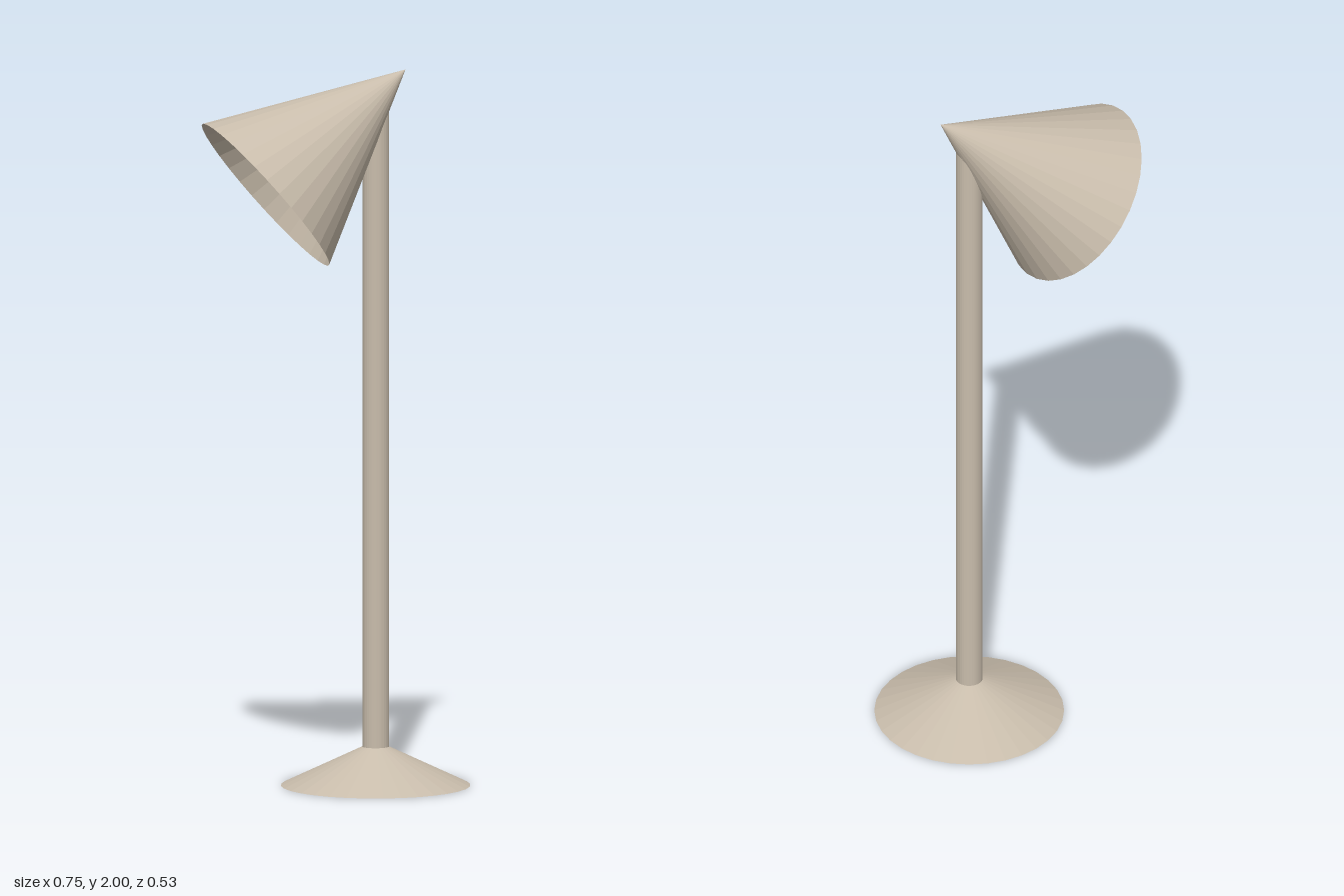
import * as THREE from 'three';

const SIDES = 32;

export function createModel() {
  const lamp = new THREE.Group();
  lamp.name = 'floorLamp';

  const beige = new THREE.MeshStandardMaterial({ color: 0xc8bcab, flatShading: true, side: THREE.DoubleSide });
  beige.name = 'beige';

  const add = (name, geometry) => {
    const mesh = new THREE.Mesh(geometry, beige);
    mesh.name = name;
    lamp.add(mesh);
    return mesh;
  };

  const poleX = 0.11, poleRadius = 0.037, poleTop = 1.9;
  const baseRadius = 0.263, baseHeight = 0.108;

  // Low conical foot
  add('base', new THREE.CylinderGeometry(poleRadius, baseRadius, baseHeight, SIDES))
    .position.set(poleX, baseHeight / 2, 0);

  // Upright pole, ending inside the shade
  const poleLength = poleTop - baseHeight;
  add('pole', new THREE.CylinderGeometry(poleRadius, poleRadius, poleLength, SIDES))
    .position.set(poleX, baseHeight + poleLength / 2, 0);

  // Open conical shade, tilted so its mouth points down and to the side
  const apex = new THREE.Vector3(0.196, 2, 0);
  const mouth = new THREE.Vector3(-0.207, 1.665, 0);
  const axis = apex.clone().sub(mouth);
  const shade = add('shade', new THREE.ConeGeometry(baseRadius, axis.length(), SIDES, 1, true));
  shade.position.copy(apex).add(mouth).multiplyScalar(0.5);
  shade.quaternion.setFromUnitVectors(new THREE.Vector3(0, 1, 0), axis.normalize());

  return lamp;
}
